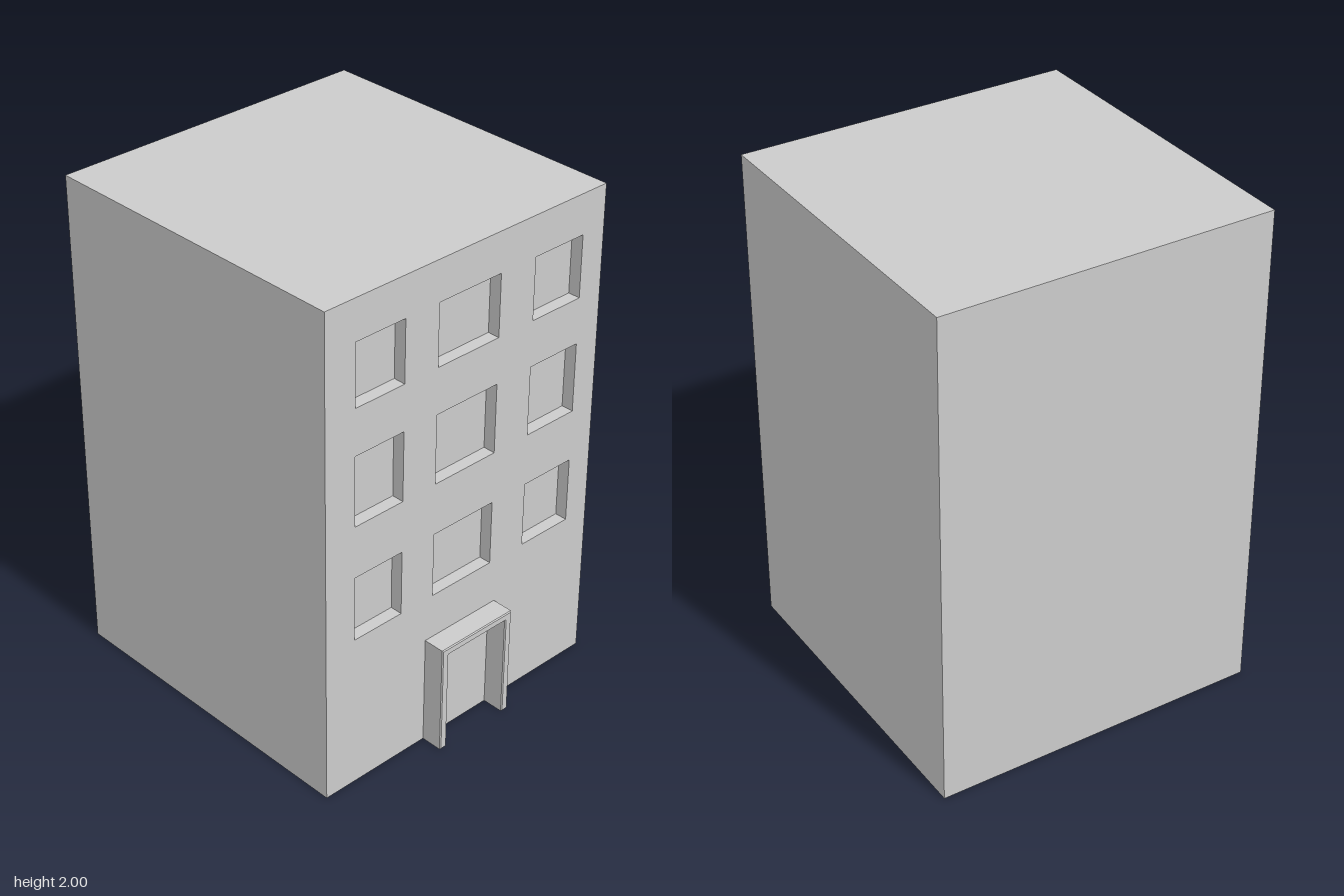
import * as THREE from 'three';

const LEFT = -0.665, RIGHT = 0.665, TOP = 2, BACK = -0.71, FRONT = 0.62;
const RECESS = 0.05;
const columns = [[-0.53, -0.304], [-0.147, 0.147], [0.318, 0.557]];
const rows = [[0.64, 0.905], [1.117, 1.4], [1.587, 1.837]];

const material = new THREE.MeshStandardMaterial({ color: 0xcccccc });

function addMesh(parent, name, geometry) {
  const mesh = new THREE.Mesh(geometry, material);
  mesh.name = name;
  parent.add(mesh);
  return mesh;
}

// Box without its +z side; inward turns the faces to the inside
function openBox(x0, x1, y0, y1, z0, z1, inward = false) {
  const g = new THREE.BoxGeometry(x1 - x0, y1 - y0, z1 - z0);
  g.translate((x0 + x1) / 2, (y0 + y1) / 2, (z0 + z1) / 2);
  const index = Array.from(g.index.array);
  index.splice(24, 6);
  if (inward) {
    index.reverse();
    const n = g.attributes.normal;
    for (let i = 0; i < n.array.length; i++) n.array[i] *= -1;
  }
  g.setIndex(index);
  g.clearGroups();
  return g;
}

function rectangle(path, x0, x1, y0, y1) {
  path.moveTo(x0, y0);
  path.lineTo(x1, y0);
  path.lineTo(x1, y1);
  path.lineTo(x0, y1);
  path.closePath();
  return path;
}

export function createModel() {
  const model = new THREE.Group();
  model.name = 'apartmentBuilding';

  // Side walls, back wall, roof and base
  addMesh(model, 'walls', openBox(LEFT, RIGHT, 0, TOP, BACK, FRONT));

  // Front wall with window openings, each backed by a shallow recess
  const facade = rectangle(new THREE.Shape(), LEFT, RIGHT, 0, TOP);
  const windows = new THREE.Group();
  windows.name = 'windows';
  for (const [y0, y1] of rows) {
    for (const [x0, x1] of columns) {
      facade.holes.push(rectangle(new THREE.Path(), x0, x1, y0, y1));
      addMesh(windows, 'windowRecess', openBox(x0, x1, y0, y1, FRONT - RECESS, FRONT, true));
    }
  }
  addMesh(model, 'frontWall', new THREE.ShapeGeometry(facade)).position.z = FRONT;
  model.add(windows);

  // Projecting door surround with a fine bevel on its front edge
  const surround = new THREE.Shape();
  surround.moveTo(-0.179, 0);
  surround.lineTo(-0.147, 0);
  surround.lineTo(-0.147, 0.425);
  surround.lineTo(0.147, 0.425);
  surround.lineTo(0.147, 0);
  surround.lineTo(0.178, 0);
  surround.lineTo(0.178, 0.455);
  surround.lineTo(-0.179, 0.455);
  surround.closePath();
  const bevel = 0.004;
  const frame = new THREE.ExtrudeGeometry(surround, {
    depth: 0.71 - FRONT, bevelEnabled: true, bevelThickness: bevel,
    bevelSize: bevel, bevelOffset: -bevel, bevelSegments: 1,
  });
  addMesh(model, 'doorSurround', frame).position.z = FRONT - bevel;

  return model;
}
